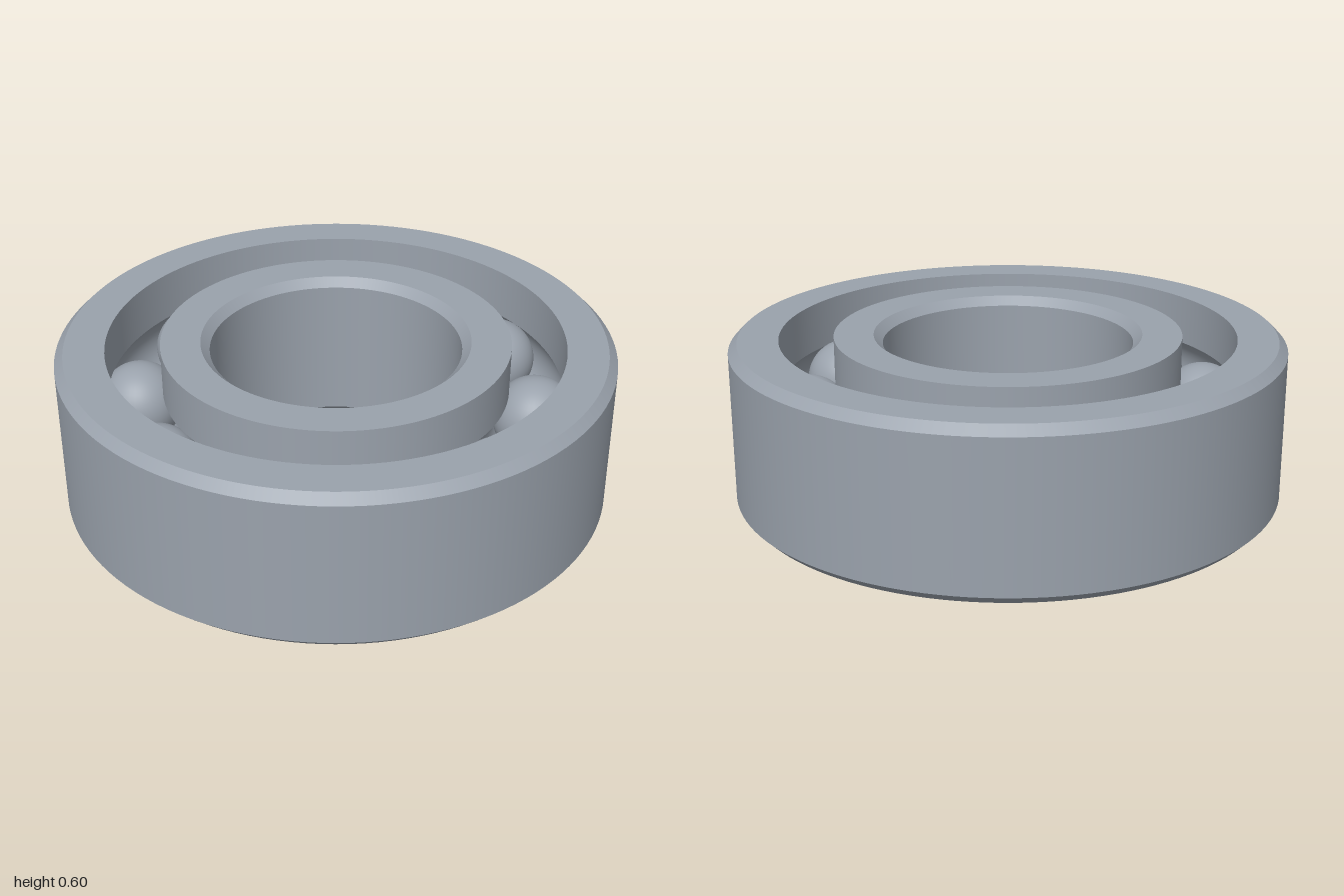
import * as THREE from 'three';
import { mergeGeometries } from 'three/addons/utils/BufferGeometryUtils.js';

const HEIGHT = 0.6, MID = HEIGHT / 2, CHAMFER = 0.032;
const PITCH = 0.725, BALL_RADIUS = 0.152, BALLS = 10;
const OUTER = 1, OUTER_BORE = 0.822, INNER_RIM = 0.627, BORE = 0.452;
const SEGMENTS = 128;

// Lathes each profile piece on its own, so edges between pieces stay sharp
function ringGeometry(pieces) {
  return mergeGeometries(pieces.map((p) =>
    new THREE.LatheGeometry(p.map(([x, y]) => new THREE.Vector2(x, y)), SEGMENTS)));
}

// Straight profile pieces through a list of corners
const straight = (pts) => pts.slice(1).map((p, i) => [pts[i], p]);

// Ball race cut into a wall of the given radius, from bottom to top
function race(wall) {
  const d = wall - PITCH, side = Math.sign(d);
  const limit = Math.acos(Math.abs(d) / BALL_RADIUS);
  return Array.from({ length: 17 }, (_, i) => {
    const a = limit * (i / 8 - 1);
    return [PITCH + side * BALL_RADIUS * Math.cos(a), MID + BALL_RADIUS * Math.sin(a)];
  });
}

export function createModel() {
  const group = new THREE.Group();
  const steel = new THREE.MeshStandardMaterial({ color: 0x9aa2ac });
  steel.name = 'steel';

  const add = (name, geometry) => {
    const mesh = new THREE.Mesh(geometry, steel);
    mesh.name = name;
    group.add(mesh);
    return mesh;
  };

  // Outer ring: chamfered outside, race on its inner wall
  const outerRace = race(OUTER_BORE).reverse();
  add('outerRing', ringGeometry([
    ...straight([
      [OUTER_BORE, 0], [OUTER - CHAMFER, 0], [OUTER, CHAMFER],
      [OUTER, HEIGHT - CHAMFER], [OUTER - CHAMFER, HEIGHT],
      [OUTER_BORE, HEIGHT], outerRace[0],
    ]),
    outerRace,
    [outerRace[16], [OUTER_BORE, 0]],
  ]));

  // Inner ring: chamfered bore, race on its outer wall
  const innerRace = race(INNER_RIM);
  add('innerRing', ringGeometry([
    ...straight([
      innerRace[16], [INNER_RIM, HEIGHT], [BORE + CHAMFER, HEIGHT],
      [BORE, HEIGHT - CHAMFER], [BORE, CHAMFER], [BORE + CHAMFER, 0],
      [INNER_RIM, 0], innerRace[0],
    ]),
    innerRace,
  ]));

  // Balls, evenly spaced between the races
  const ball = new THREE.SphereGeometry(BALL_RADIUS, 40, 28);
  for (let i = 0; i < BALLS; i++) {
    const a = THREE.MathUtils.degToRad(12) + (i / BALLS) * Math.PI * 2;
    add('ball' + (i + 1), ball).position.set(PITCH * Math.cos(a), MID, PITCH * Math.sin(a));
  }

  return group;
}
